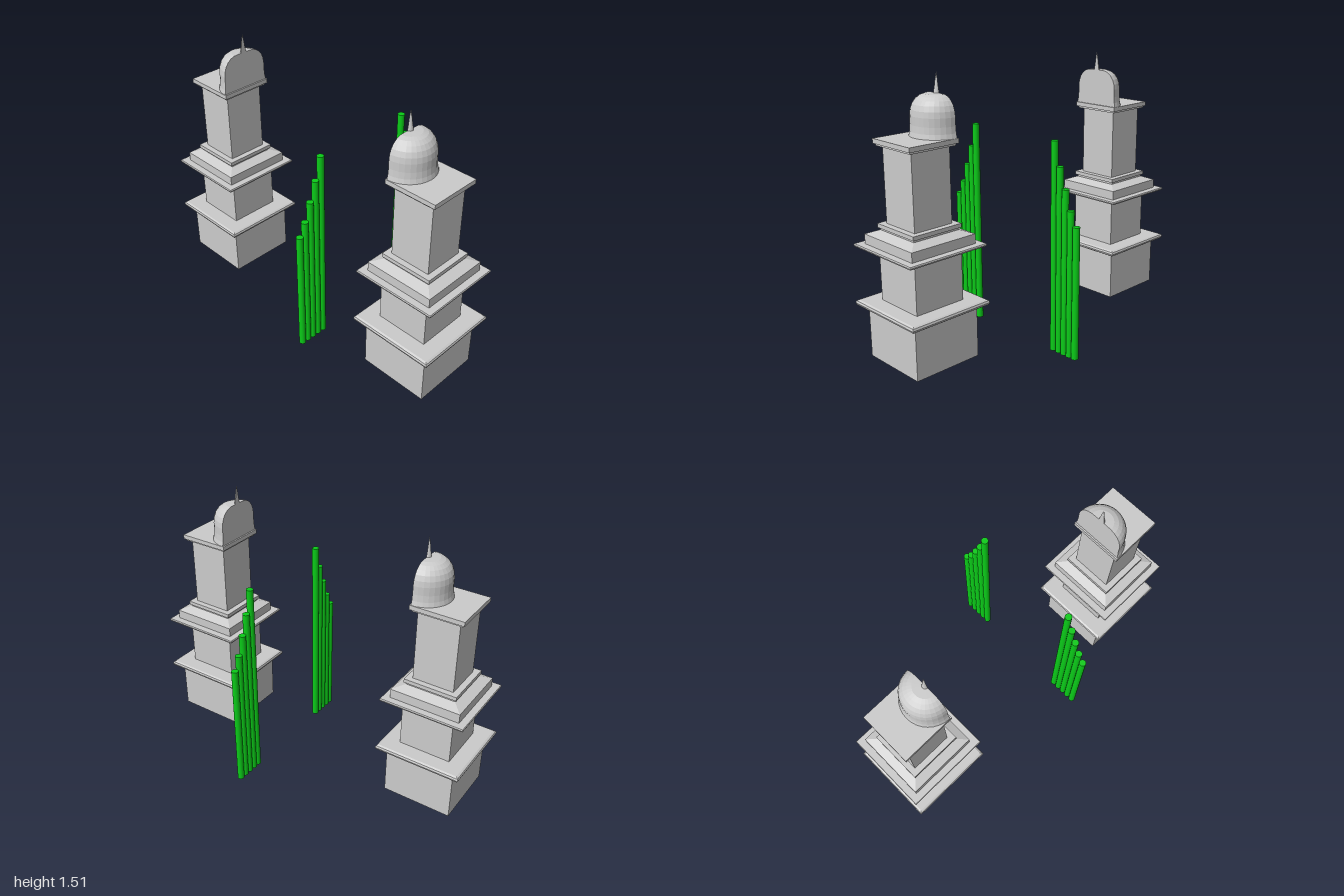
import * as THREE from 'three';

const stone = new THREE.MeshStandardMaterial({ color: 0xcccccc, flatShading: true });
const stoneThin = new THREE.MeshStandardMaterial({ color: 0xcccccc, flatShading: true, side: THREE.DoubleSide });
const green = new THREE.MeshStandardMaterial({ color: 0x0acc18 });

function add(parent, name, geometry, material) {
  const mesh = new THREE.Mesh(geometry, material);
  mesh.name = name;
  parent.add(mesh);
  return mesh;
}

const toPoints = (profile) => profile.map(([r, y]) => new THREE.Vector2(r, y));

// Closed square solid from a profile of [half width, height], bottom to top
function squareSolid(profile) {
  const first = profile[0], last = profile[profile.length - 1];
  const points = [[0, first[1]], ...profile, [0, last[1]]].map(([h, y]) => [h * Math.SQRT2, y]);
  return new THREE.LatheGeometry(toPoints(points), 4, Math.PI / 4);
}

// Half of a turned solid, bulging to +x and closed by a flat face at x = 0
function addHalfTurned(parent, name, profile, segments) {
  add(parent, name, new THREE.LatheGeometry(toPoints(profile), segments, 0, Math.PI), stoneThin);
  const outline = [...profile, ...profile.map(([r, y]) => [-r, y]).reverse()];
  const face = new THREE.ShapeGeometry(new THREE.Shape(toPoints(outline)));
  add(parent, name + 'FlatFace', face.rotateY(-Math.PI / 2), stoneThin);
}

const towerParts = {
  base: [[0.201, 0.01], [0.201, 0.305]],
  lowerLedge: [[0.235, 0.3], [0.246, 0.307], [0.25, 0.318], [0.246, 0.329], [0.235, 0.335]],
  middleBlock: [[0.15, 0.33], [0.15, 0.637]],
  upperLedge: [[0.24, 0.632], [0.243, 0.64], [0.24, 0.647]],
  slopedPlinth: [[0.201, 0.645], [0.201, 0.7], [0.145, 0.722]],
  shaftFootStep: [[0.141, 0.72], [0.141, 0.735]],
  shaftFoot: [[0.152, 0.735], [0.152, 0.757]],
  shaft: [[0.118, 0.755], [0.118, 1.165]],
  capStep: [[0.141, 1.163], [0.141, 1.175]],
  cap: [[0.152, 1.175], [0.152, 1.2]],
};

// Tower whose half dome bulges to its own +x side
function makeTower(name) {
  const tower = new THREE.Group();
  tower.name = name;
  for (const [part, profile] of Object.entries(towerParts)) add(tower, part, squareSolid(profile), stone);

  const top = new THREE.Group();
  top.name = 'halfDomeWithSpire';
  top.position.x = -0.143;
  tower.add(top);
  addHalfTurned(top, 'dome', [[0.15, 1.2], [0.144, 1.225], [0.141, 1.26], [0.141, 1.305], [0.137, 1.335],
    [0.127, 1.362], [0.111, 1.384], [0.09, 1.4], [0.065, 1.409], [0, 1.412]], 16);
  addHalfTurned(top, 'spire', [[0.019, 1.405], [0.013, 1.44], [0.007, 1.485], [0.001, 1.515]], 8);
  return tower;
}

export function createModel() {
  const model = new THREE.Group();
  model.name = 'gateTowers';

  const left = makeTower('leftTower');
  left.position.set(0.749, 0, 0.119);
  const right = makeTower('rightTower');
  right.position.set(-0.749, 0, 0.119);
  right.rotation.y = Math.PI;
  model.add(left, right);

  // Rows of poles in front and behind, descending outwards
  const heights = [1.17, 1.04, 0.927, 0.82, 0.742];
  for (const side of [1, -1]) {
    const row = new THREE.Group();
    row.name = side > 0 ? 'frontPoles' : 'backPoles';
    heights.forEach((h, i) => {
      const pole = add(row, 'pole' + (i + 1), new THREE.CylinderGeometry(0.0195, 0.0195, h, 20), green);
      pole.position.set(0.196, h / 2, side * (0.306 + i * 0.039));
    });
    model.add(row);
  }
  return model;
}
